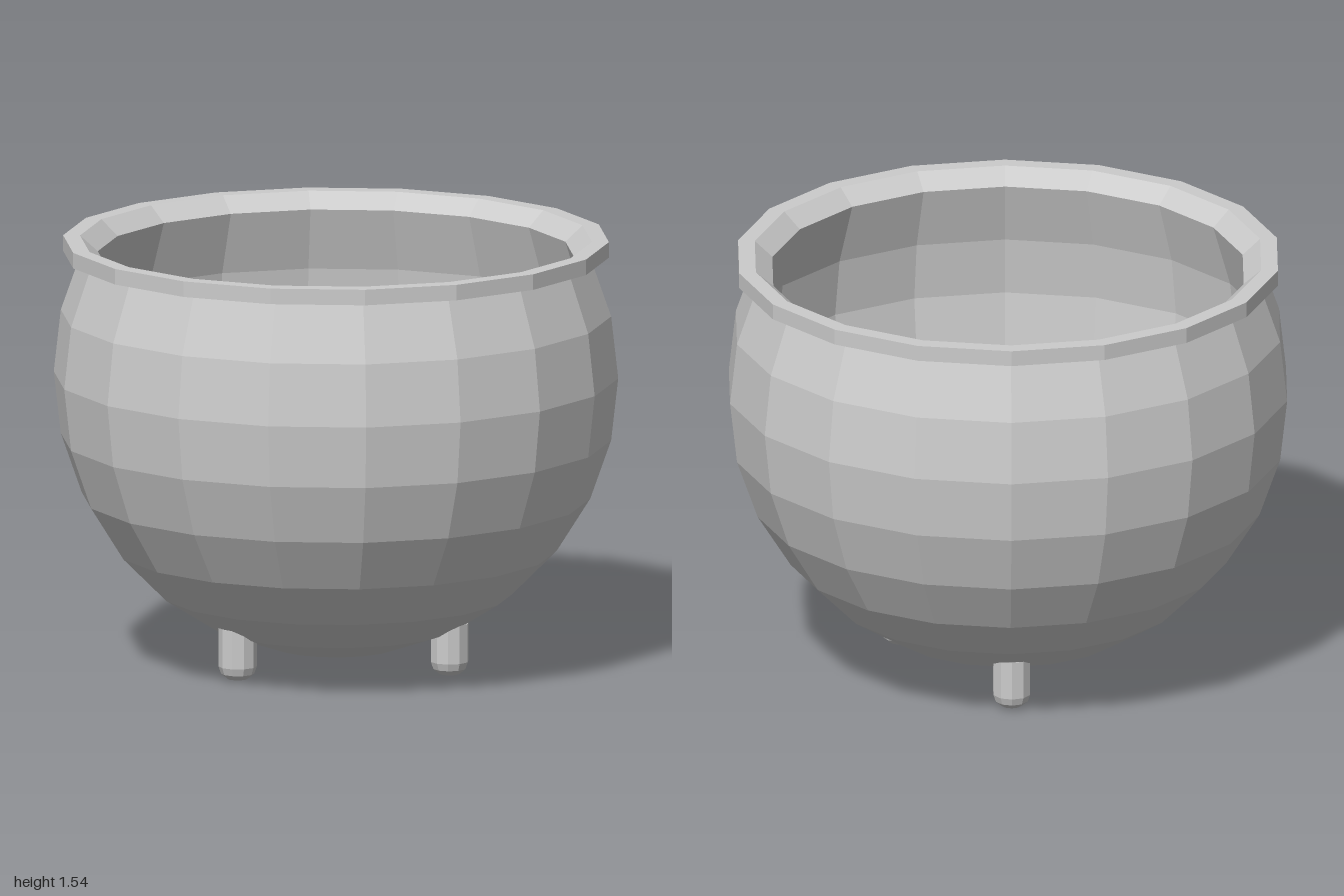
import * as THREE from 'three';

const SIDES = 18, STACKS = 14, CENTRE = 1.05;
const RIM_LOW = 1.484, RIM_TOP = 1.54;

const material = new THREE.MeshStandardMaterial({ color: 0xcccccc, flatShading: true });

// Revolve [radius, y] pairs; a corner of the polygon points along +x
function revolve(name, pairs, sides = SIDES) {
  const points = pairs.map(([r, y]) => new THREE.Vector2(r, y));
  const mesh = new THREE.Mesh(new THREE.LatheGeometry(points, sides, Math.PI / 2), material);
  mesh.name = name;
  return mesh;
}

// Profile of a sphere from its bottom pole up to two rings above the equator
function bowlProfile(radius) {
  const pairs = [];
  for (let i = 0; i <= STACKS / 2 + 2; i++) {
    const a = (i / STACKS) * Math.PI;
    pairs.push([radius * Math.sin(a), CENTRE - radius * Math.cos(a)]);
  }
  pairs[pairs.length - 1][1] = RIM_LOW;
  return pairs;
}

export function createModel() {
  const model = new THREE.Group();
  model.name = 'cauldron';

  // Bowl: outer wall, and inner wall running downwards so that it faces inwards
  const outer = bowlProfile(1);
  const inner = bowlProfile(0.937).reverse();
  model.add(revolve('outerBowl', outer));
  model.add(revolve('innerBowl', inner));

  // Rim: overhanging band with a flat top and a bevel down to the inner wall
  model.add(revolve('rim', [
    outer[outer.length - 1],
    [0.967, RIM_LOW],
    [0.967, RIM_TOP],
    [0.907, RIM_TOP],
    inner[0],
  ]));

  // Three stubby legs with rounded feet
  const legProfile = [
    [0, 0], [0.036, 0.007], [0.059, 0.026], [0.068, 0.052], [0.068, 0.19], [0, 0.19],
  ];
  for (let i = 0; i < 3; i++) {
    const angle = THREE.MathUtils.degToRad(39 + i * 120);
    const leg = revolve('leg' + (i + 1), legProfile, 10);
    leg.position.set(0.436 * Math.cos(angle), 0, 0.436 * Math.sin(angle));
    leg.rotation.y = -angle;
    model.add(leg);
  }
  return model;
}
